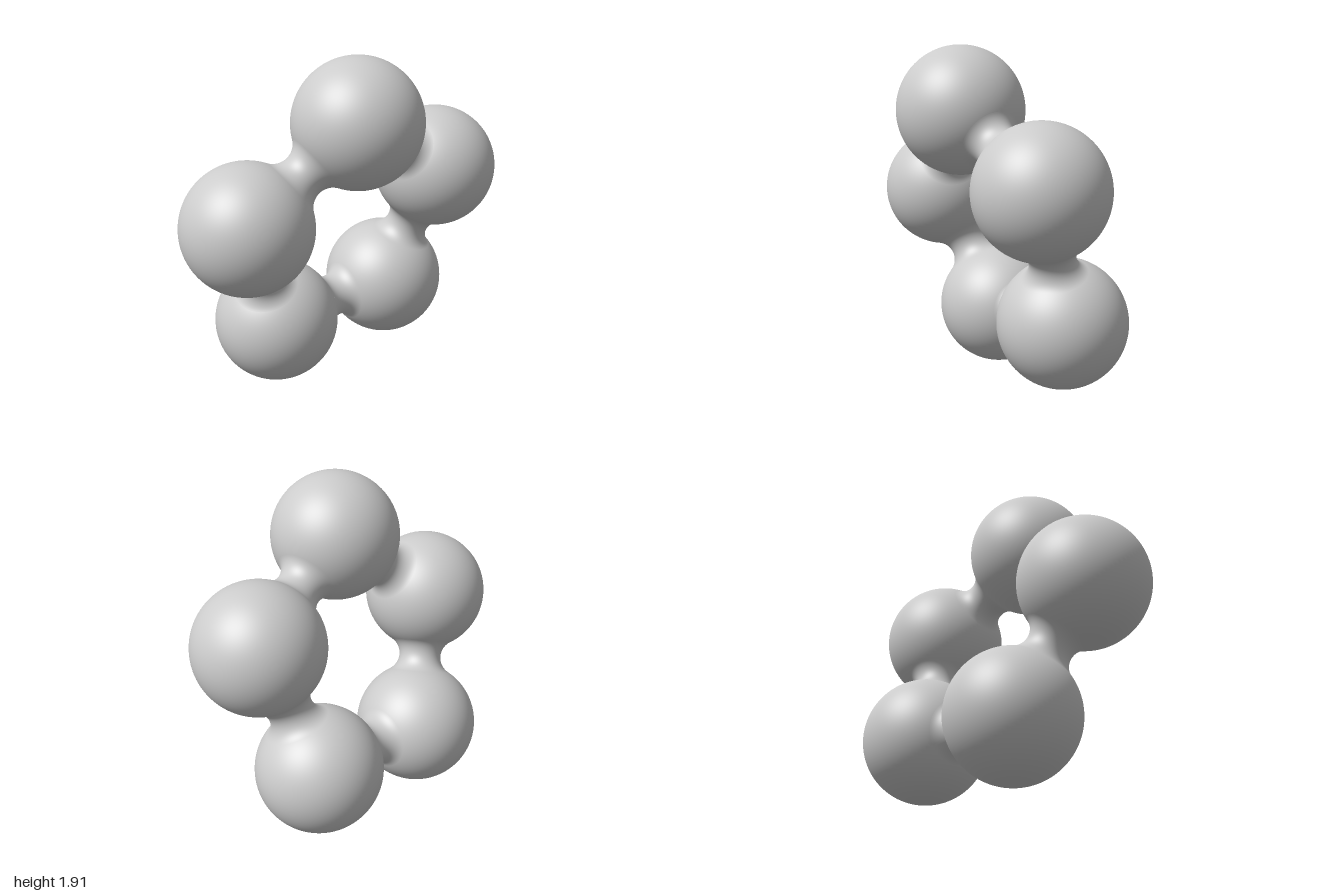
import * as THREE from 'three';

const R = 0.356; // ball radius
const NECK = 0.125; // waist radius of each neck

// Ball centres, in order around the ring
const CENTRES = [
  ['topBall', 0.19, 1.555, 0.04],
  ['frontUpperBall', 0.03, 1.056, 0.644],
  ['frontLowerBall', -0.195, 0.356, 0.328],
  ['backLowerBall', -0.17, 0.43, -0.466],
  ['backUpperBall', 0.07, 1.172, -0.644],
];

// Concave neck: an arc tangent to both balls, turned about the line joining them
function neckGeometry(distance) {
  const h = distance / 2;
  const fillet = (h * h + NECK * NECK - R * R) / (2 * (R - NECK));
  const axis = NECK + fillet;
  const sweep = Math.atan2(h, axis);
  const profile = [];
  for (let i = 0; i <= 32; i++) {
    const a = sweep * (i / 16 - 1);
    profile.push(new THREE.Vector2(axis - fillet * Math.cos(a), fillet * Math.sin(a)));
  }
  return new THREE.LatheGeometry(profile, 64);
}

export function createModel() {
  const group = new THREE.Group();
  group.name = 'ballRing';
  const material = new THREE.MeshStandardMaterial({ color: 0xcccccc });
  const ballGeometry = new THREE.SphereGeometry(R, 96, 64);
  const up = new THREE.Vector3(0, 1, 0);
  const points = CENTRES.map(([, x, y, z]) => new THREE.Vector3(x, y, z));

  points.forEach((p, i) => {
    // Ball
    const ball = new THREE.Mesh(ballGeometry, material);
    ball.name = CENTRES[i][0];
    ball.position.copy(p);
    group.add(ball);

    // Neck to the next ball
    const q = points[(i + 1) % points.length];
    const neck = new THREE.Mesh(neckGeometry(p.distanceTo(q)), material);
    neck.name = `neck${i + 1}`;
    neck.position.lerpVectors(p, q, 0.5);
    neck.quaternion.setFromUnitVectors(up, q.clone().sub(p).normalize());
    group.add(neck);
  });

  return group;
}
